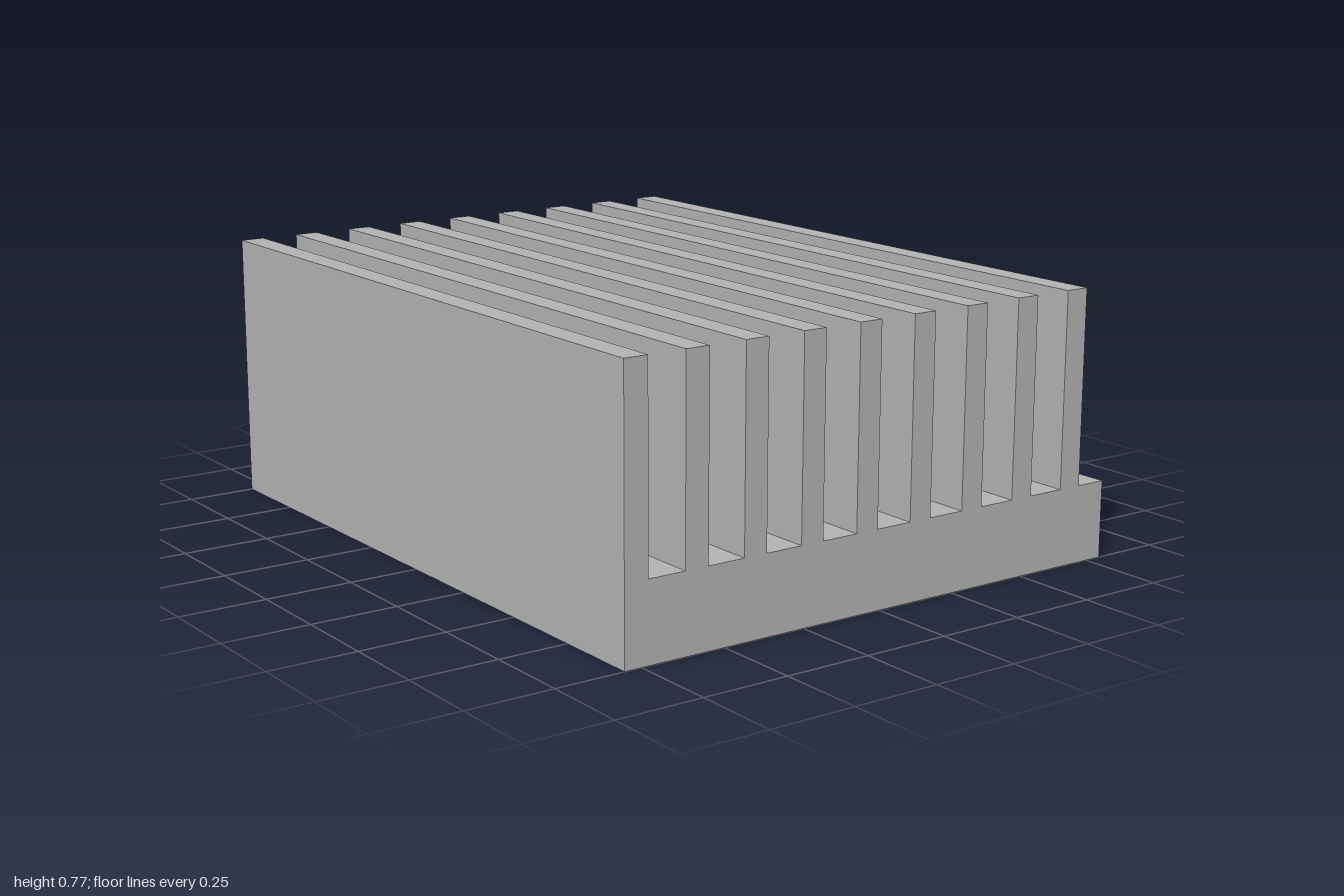
import * as THREE from 'three';

export function createModel() {
  const aluminium = new THREE.MeshStandardMaterial({ color: 0xb2b2b2 });
  aluminium.name = 'aluminium grey';

  const halfWidth = 0.8, length = 2;
  const baseTop = 0.22, finTop = 0.77;
  const finCount = 9, finPitch = 0.18, finThickness = 0.07;

  // Comb-shaped cross-section: base plate with upright fins, wide ledge at +x
  const profile = new THREE.Shape();
  profile.moveTo(-halfWidth, 0);
  profile.lineTo(halfWidth, 0);
  profile.lineTo(halfWidth, baseTop);
  for (let i = finCount - 1; i >= 0; i--) {
    const left = -halfWidth + i * finPitch;
    const right = left + finThickness;
    profile.lineTo(right, baseTop);
    profile.lineTo(right, finTop);
    profile.lineTo(left, finTop);
    if (i > 0) profile.lineTo(left, baseTop);
  }
  profile.closePath();

  // Extrude the section along z and centre it
  const geometry = new THREE.ExtrudeGeometry(profile, { depth: length, bevelEnabled: false });
  geometry.translate(0, 0, -length / 2);

  const body = new THREE.Mesh(geometry, aluminium);
  body.name = 'finnedHeatSinkBody';

  const group = new THREE.Group();
  group.name = 'heatSink';
  group.add(body);
  return group;
}
